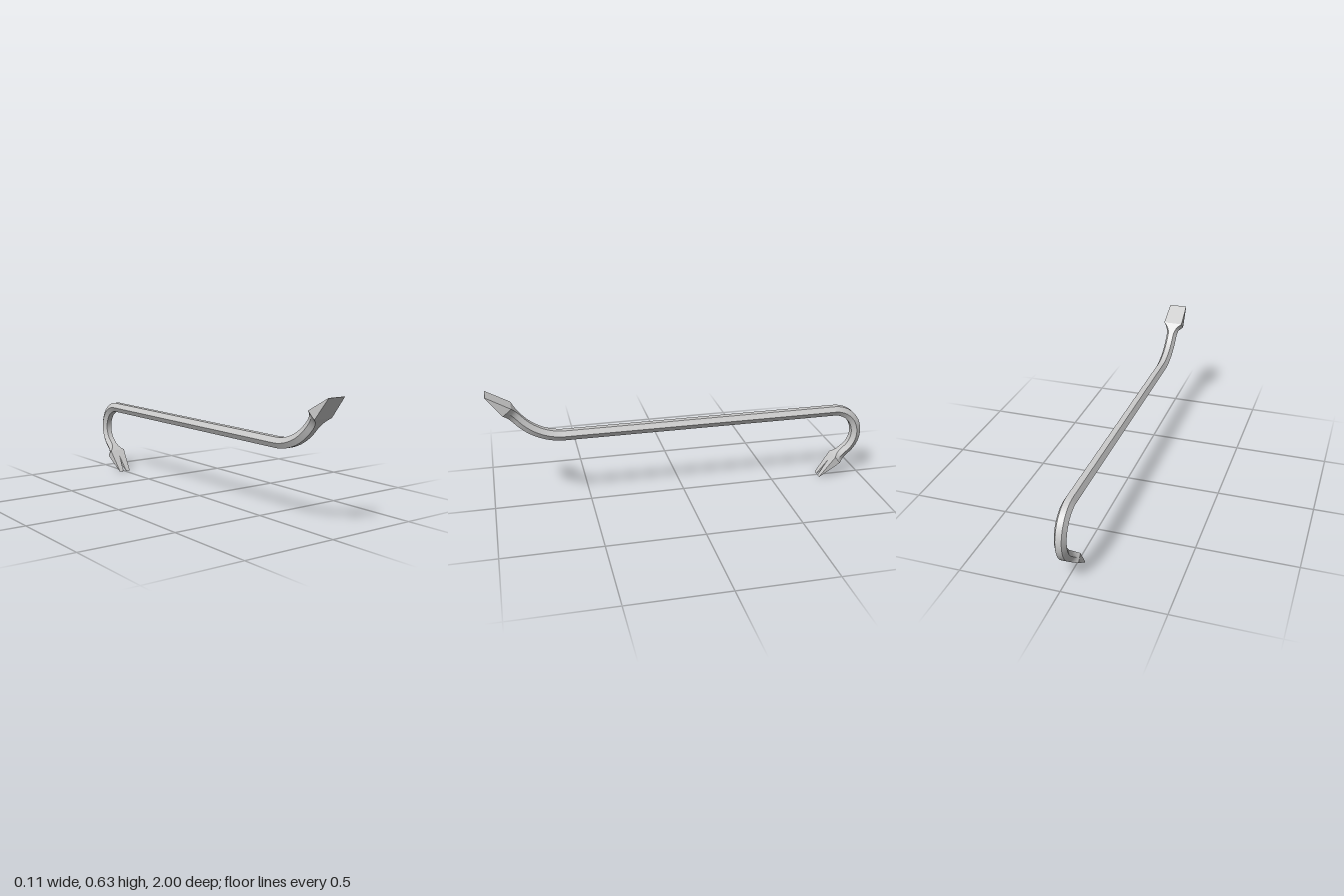
import * as THREE from 'three';

const BAR = { m: 0.03, f: 0.015, h: 0.026 };           // hexagonal bar: side corner, flat, half height
const CLAW = { w: 0.045, h: 0.023, angle: THREE.MathUtils.degToRad(140) };
const BLADE = { w: 0.053, h: 0.028, angle: THREE.MathUtils.degToRad(49) };
const { lerp } = THREE.MathUtils;

// Cross-section on the path; angle turns the section's up direction about x
function station(z, y, angle, grow = 0, end = BAR) {
  const w = end.w ?? BAR.m;
  return {
    z, y, nz: -Math.sin(angle), ny: Math.cos(angle),
    f: lerp(BAR.f, w, grow), m: lerp(BAR.m, w, grow), h: lerp(BAR.h, end.h, grow),
  };
}

// Bend of the bar, followed by a straight neck flaring to the tool end
function bend(cz, cy, radius, neck, end, dir, power) {
  const list = [];
  const at = (a) => [cz - radius * Math.sin(a), cy + radius * Math.cos(a)];
  const steps = 20;
  for (let i = 0; i <= steps; i++) {
    const a = (end.angle * i) / steps;
    list.push(station(...at(a), a));
  }
  const [z, y] = at(end.angle);
  for (let i = 1; i <= 10; i++) {
    const t = i / 10, d = dir * neck * t;
    list.push(station(z + Math.cos(end.angle) * d, y + Math.sin(end.angle) * d,
      end.angle, t ** power, end));
  }
  return list;
}

// Six strips, smooth along the bar and sharp between the flats
function loft(stations) {
  const position = [], index = [];
  const rings = stations.map(({ z, y, nz, ny, f, m, h }) =>
    [[m, 0], [f, h], [-f, h], [-m, 0], [-f, -h], [f, -h]]
      .map(([x, v]) => [x, y + ny * v, z + nz * v]));
  for (let side = 0; side < 6; side++) {
    const start = position.length / 3;
    rings.forEach((ring, i) => {
      position.push(...ring[side], ...ring[(side + 1) % 6]);
      if (i === 0) return;
      const a = start + (i - 1) * 2;
      index.push(a, a + 1, a + 3, a, a + 3, a + 2);
    });
  }
  const geometry = new THREE.BufferGeometry();
  geometry.setAttribute('position', new THREE.Float32BufferAttribute(position, 3));
  geometry.setIndex(index);
  geometry.computeVertexNormals();
  return geometry;
}

// Flat outline (x, 0..1 along the blade) tapered to a sharp edge at the tip
function wedge(outline, base, tip, half, flip) {
  const shape = new THREE.Shape(outline.map(([x, s]) => new THREE.Vector2(x, s)));
  const geometry = new THREE.ExtrudeGeometry(shape, { depth: 2, bevelEnabled: false });
  const p = geometry.attributes.position;
  for (let i = 0; i < p.count; i++) {
    const s = p.getY(i);
    const t = (p.getZ(i) - 1) * lerp(half, 0.0008, s) * flip;
    p.setXYZ(i, p.getX(i),
      lerp(base.y, tip.y, s) + base.ny * t,
      lerp(base.z, tip.z, s) + base.nz * t);
  }
  geometry.computeVertexNormals();
  return geometry;
}

export function createModel() {
  const group = new THREE.Group();
  const material = new THREE.MeshStandardMaterial({ color: 0xcccccc });
  const add = (name, geometry) => {
    const mesh = new THREE.Mesh(geometry, material);
    mesh.name = name;
    group.add(mesh);
  };

  // Hooked end at the back, gentle upward bend at the front
  const hook = bend(-0.84, 0.25, 0.132, 0.078, CLAW, -1, 3);
  const sweep = bend(0.62, 0.682, -0.3, 0.081, BLADE, 1, 2.5);
  const clawBase = hook[hook.length - 1];
  const bladeBase = sweep[sweep.length - 1];
  add('bar', loft([...hook.reverse(), ...sweep]));

  // Split claw with a V notch
  add('claw', wedge(
    [[-CLAW.w, 0], [CLAW.w, 0], [0.034, 1], [0.009, 1], [0, 0.26], [-0.009, 1], [-0.034, 1]],
    clawBase, { z: -0.767, y: 0.001 }, CLAW.h, 1));

  // Plain prying blade
  add('blade', wedge(
    [[-BLADE.w, 0], [BLADE.w, 0], [0.049, 1], [-0.049, 1]],
    bladeBase, { z: 1, y: 0.632 }, BLADE.h, -1));

  return group;
}
